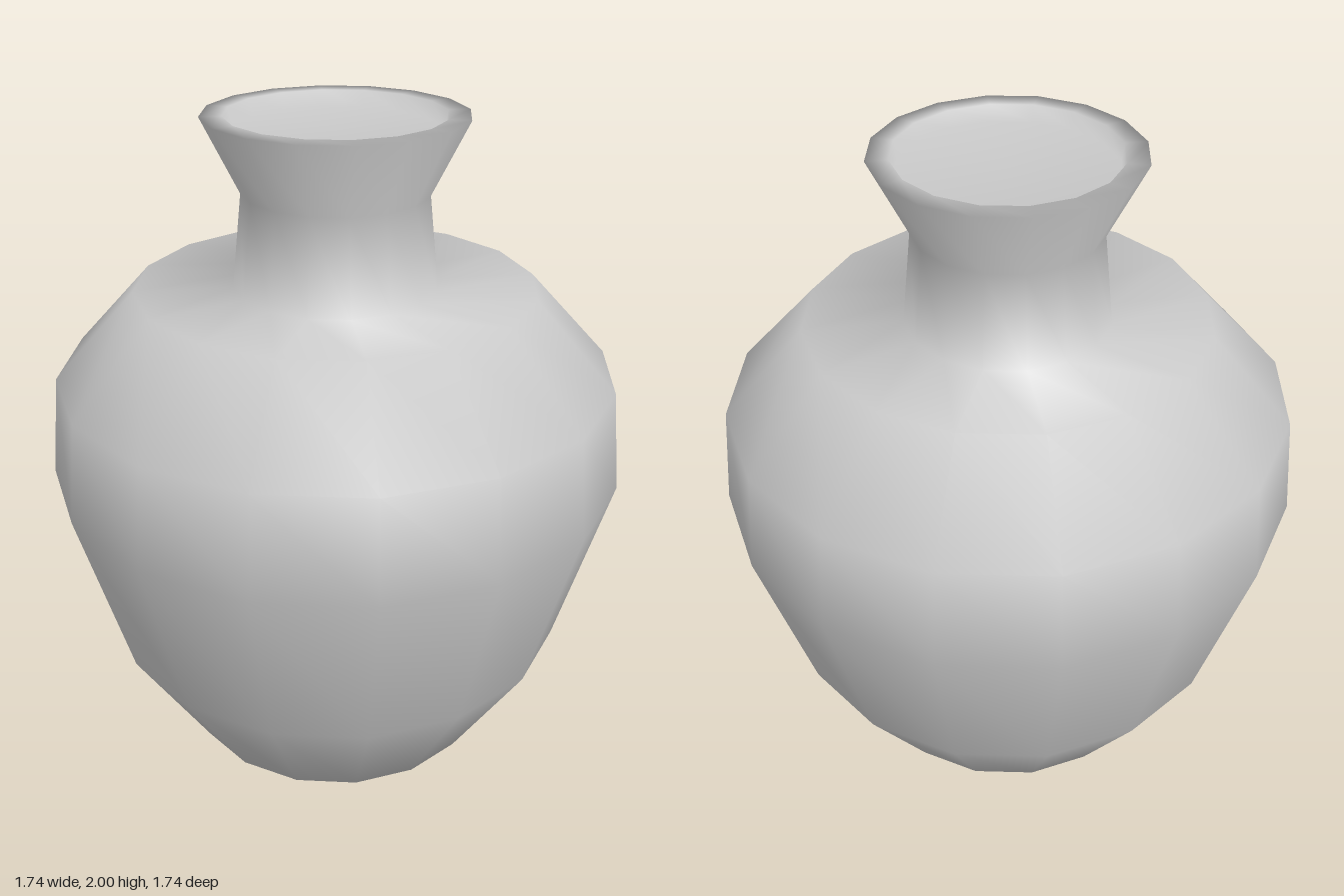
import * as THREE from 'three';

const SIDES = 16;

export function createModel() {
  const group = new THREE.Group();
  group.name = 'vase';

  const clay = new THREE.MeshStandardMaterial({ color: 0xc8c8c8 });
  clay.name = 'grey clay';

  // One continuous profile (radius, height), so shading flows smoothly over every bend
  const profile = [
    [0, 0], [0.48, 0.01],                                     // base
    [0.715, 0.38], [0.872, 0.93], [0.842, 1.235], [0.598, 1.5], // belly and shoulder
    [0.305, 1.5], [0.275, 1.78], [0.384, 2],                  // neck and flared mouth
    [0.32, 2], [0.312, 1.95], [0, 1.95],                      // lip and recessed mouth
  ].map(([r, y]) => new THREE.Vector2(r, y));

  const vessel = new THREE.Mesh(new THREE.LatheGeometry(profile, SIDES), clay);
  vessel.name = 'vessel';
  group.add(vessel);

  return group;
}
